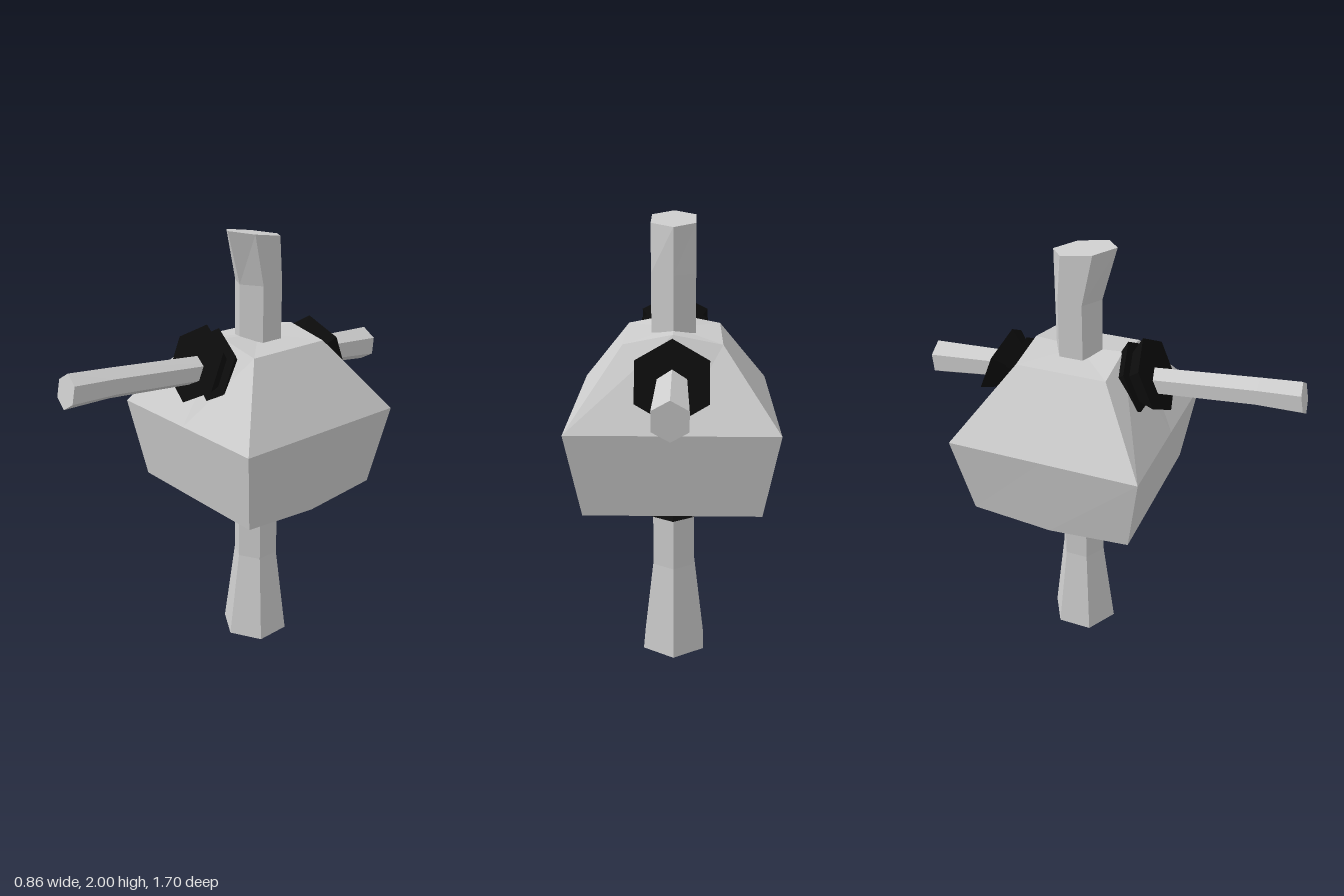
import * as THREE from 'three';

const V = (x, y, z) => new THREE.Vector3(x, y, z);

const paleGrey = new THREE.MeshStandardMaterial({ color: 0xcccccc });
const black = new THREE.MeshStandardMaterial({ color: 0x0c0c0c });
paleGrey.name = 'paleGrey';
black.name = 'black';
paleGrey.flatShading = true;
black.flatShading = true;

// Hexagon of points round c; u points to the first corner, u x v along the axis
function hexRing(c, u, v) {
  return Array.from({ length: 6 }, (_, i) => {
    const a = (i * Math.PI) / 3;
    return c.clone().addScaledVector(u, Math.cos(a)).addScaledVector(v, Math.sin(a));
  });
}

// Skin a row of rings and close both ends with fans
function loft(name, rings, start, end) {
  const middle = (r) => r.reduce((s, p) => s.add(p), V(0, 0, 0)).divideScalar(r.length);
  const first = rings[0], last = rings[rings.length - 1], n = first.length;
  const c0 = start || middle(first), c1 = end || middle(last);
  const pts = [];
  for (let i = 0; i < n; i++) {
    const j = (i + 1) % n;
    for (let k = 0; k + 1 < rings.length; k++) {
      const a = rings[k], b = rings[k + 1];
      pts.push(a[i], a[j], b[j], a[i], b[j], b[i]);
    }
    pts.push(c0, first[j], first[i], c1, last[i], last[j]);
  }
  const geo = new THREE.BufferGeometry().setFromPoints(pts);
  geo.computeVertexNormals();
  const mesh = new THREE.Mesh(geo, paleGrey);
  mesh.name = name;
  return mesh;
}

// Two stacked flaring hexagonal cones; the origin is the outer face, +y points outward
function collar(name, radius, step, position, tilt) {
  const group = new THREE.Group();
  group.name = name;
  for (let k = 0; k < 2; k++) {
    const cone = new THREE.Mesh(new THREE.CylinderGeometry(radius, radius * 0.7, step, 6), black);
    cone.name = 'collarCone';
    cone.position.y = -step * (k + 0.5);
    group.add(cone);
  }
  group.position.copy(position);
  group.rotation.x = tilt;
  return group;
}

// Square section of eight points with separate heights for corners, sides and front/back middles
function squareRing(half, corner, side, frontBack) {
  const z = -0.14;
  return [
    V(0, frontBack, z + half), V(half, corner, z + half), V(half, side, z), V(half, corner, z - half),
    V(0, frontBack, z - half), V(-half, corner, z - half), V(-half, side, z), V(-half, corner, z + half),
  ];
}

export function createModel() {
  const model = new THREE.Group();
  model.name = 'model';

  // Faceted body with sloping shoulders
  model.add(loft('body', [
    squareRing(0.37, 0.83, 0.8, 0.83),
    squareRing(0.43, 1.2, 1.2, 1.2),
    squareRing(0.203, 1.51, 1.51, 1.55),
  ], V(0, 0.83, -0.14), V(0, 1.535, -0.14)));

  // Upright post: flared foot, straight shaft, top bent forward
  const post = [
    [0, 0.163, 0.163, 0, -0.138], [0.435, 0.107, 0.107, 0, -0.138],
    [1.77, 0.107, 0.107, 0, -0.138], [1.98, 0.14, 0.107, 0.02, -0.105],
  ];
  model.add(loft('post', post.map(([y, rz, rx, lift, z]) =>
    hexRing(V(0, y, z), V(0, lift, rz), V(rx, 0, 0)))));

  // Long front rod, slightly bent
  const frontRod = [[0.05, 1.427, 0.06, 0], [0.65, 1.482, 0.063, 0], [0.835, 1.49, 0.07, -0.015]];
  model.add(loft('frontRod', frontRod.map(([z, y, r, lean]) =>
    hexRing(V(0, y, z), V(0, r, lean), V(-0.066, 0, 0)))));

  // Short back rod, widening to its end
  const backRod = [[-0.2, 1.41, 0.056], [-0.845, 1.355, 0.08]];
  model.add(loft('backRod', backRod.map(([z, y, r]) =>
    hexRing(V(0, y, z), V(0, r, -0.005), V(r, 0, 0)))));

  // Collars where the post and rods enter the body
  model.add(
    collar('bottomCollar', 0.19, 0.06, V(0, 0.715, -0.138), Math.PI),
    collar('frontCollar', 0.172, 0.07, V(0, 1.47, 0.217), 1.166),
    collar('backCollar', 0.17, 0.073, V(0, 1.405, -0.525), -1.173),
  );
  return model;
}
